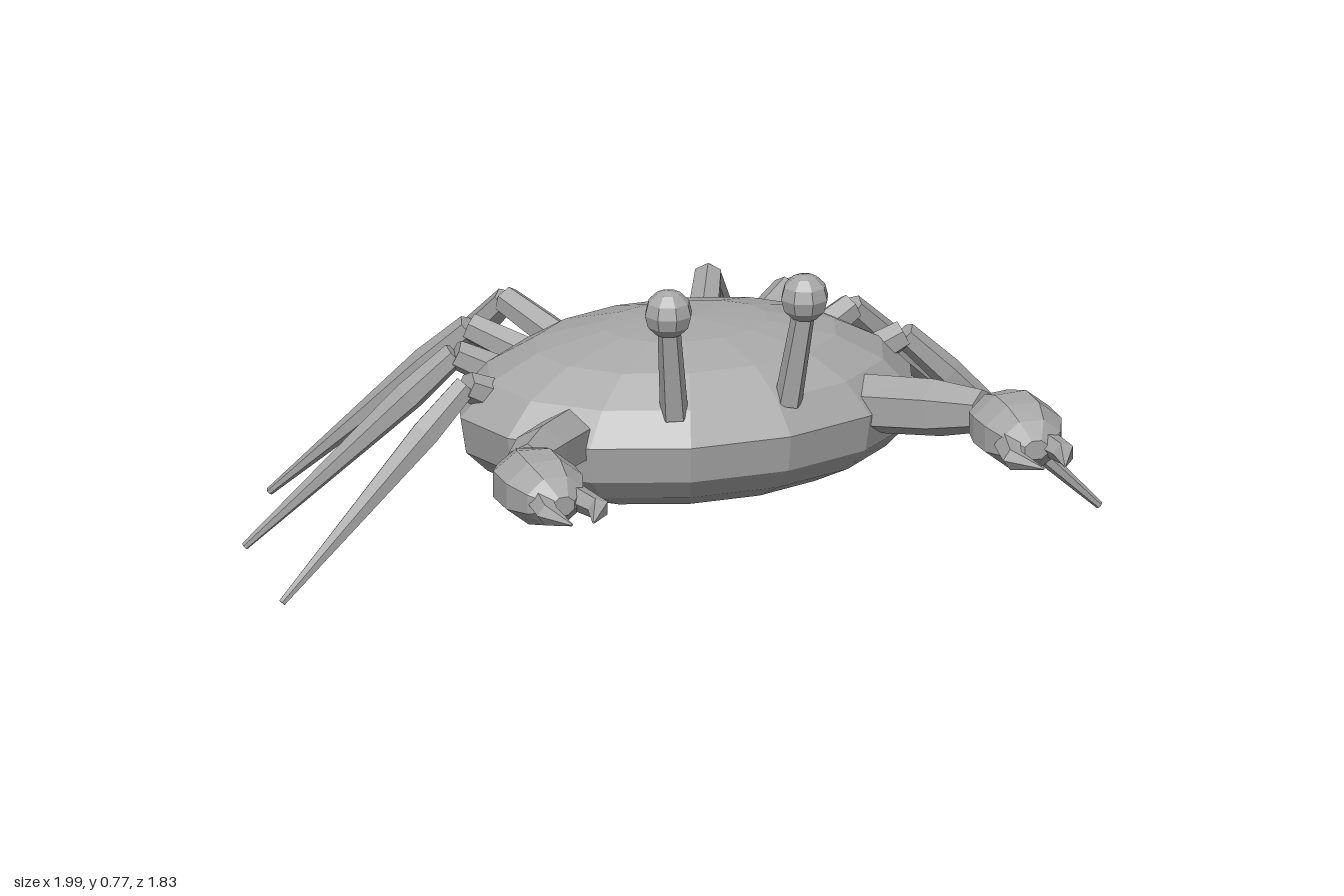
import * as THREE from 'three';

const shell = new THREE.MeshStandardMaterial({ color: 0xa8a8a8, flatShading: true });
shell.name = 'shell grey';

// Closed limb through stations [x, y, z, radius]; flat squashes it vertically
function limb(stations, sides, flat = 1, turn = 0.5) {
  const pts = stations.map(([x, y, z]) => new THREE.Vector3(x, y, z));
  const last = pts.length - 1, pos = [], idx = [];
  const up = new THREE.Vector3(0, 1, 0);
  pts.forEach((p, i) => {
    const t = pts[Math.min(i + 1, last)].clone().sub(pts[Math.max(i - 1, 0)]).normalize();
    const u = up.clone().cross(t).normalize();
    const v = t.clone().cross(u);
    for (let j = 0; j < sides; j++) {
      const a = (j + turn) / sides * Math.PI * 2, r = stations[i][3];
      const q = p.clone().addScaledVector(u, Math.cos(a) * r).addScaledVector(v, Math.sin(a) * r * flat);
      pos.push(q.x, q.y, q.z);
    }
  });
  const start = pos.length / 3, end = start + 1;
  pos.push(...pts[0].toArray(), ...pts[last].toArray());
  for (let j = 0; j < sides; j++) {
    const k = (j + 1) % sides;
    for (let i = 0; i < last; i++) {
      const a = i * sides + j, b = i * sides + k;
      idx.push(a, b, a + sides, b, b + sides, a + sides);
    }
    idx.push(start, k, j, end, last * sides + j, last * sides + k);
  }
  const g = new THREE.BufferGeometry();
  g.setAttribute('position', new THREE.Float32BufferAttribute(pos, 3));
  g.setIndex(idx);
  g.computeVertexNormals();
  return g;
}

// Walking legs: root, knee and tip
const LEGS = [
  { root: [0.44, 0.42, 0.0], knee: [0.53, 0.465, 0.01], tip: [0.99, 0.008, 0.05] },
  { root: [0.37, 0.41, -0.175], knee: [0.48, 0.465, -0.205], tip: [0.94, 0.008, -0.342] },
  { root: [0.27, 0.41, -0.28], knee: [0.385, 0.465, -0.37], tip: [0.76, 0.008, -0.677] },
  { root: [0.15, 0.4, -0.3], knee: [0.245, 0.465, -0.515], tip: [0.464, 0.008, -0.908] },
];

export function createModel() {
  const crab = new THREE.Group();
  crab.name = 'crab';
  const add = (name, geometry, parent = crab) => {
    const m = new THREE.Mesh(geometry, shell);
    m.name = name;
    parent.add(m);
    return m;
  };

  // Oval carapace with a blunt rim
  const profile = [[0, 0.165], [0.36, 0.172], [0.7, 0.215], [0.88, 0.255], [0.975, 0.305],
    [1, 0.39], [0.87, 0.465], [0.66, 0.525], [0.36, 0.56], [0, 0.573]]
    .map(([r, y]) => new THREE.Vector2(r, y));
  const body = new THREE.LatheGeometry(profile, 14, Math.PI / 14);
  body.scale(0.545, 1, 0.385);
  body.translate(0, 0, 0.015);
  add('carapace', body);

  for (const s of [1, -1]) {
    const side = new THREE.Group();
    side.name = s > 0 ? 'leftLimbs' : 'rightLimbs';
    crab.add(side);
    const part = (name, stations, sides, flat, turn) =>
      add(name, limb(stations.map(([x, y, z, r]) => [s * x, y, z, r]), sides, flat, turn), side);

    // Eye on its stalk
    part('eyeStalk', [[0.138, 0.45, 0.325, 0.034], [0.165, 0.69, 0.362, 0.027]], 5);
    add('eye', new THREE.SphereGeometry(0.057, 8, 6), side).position.set(s * 0.165, 0.712, 0.36);

    // Legs, each a short thigh and a long tapering shin
    LEGS.forEach(({ root, knee, tip }, i) => {
      const mid = knee.map((k, n) => k + (tip[n] - k) * 0.22);
      part('thigh' + (i + 1), [[...root, 0.042], [...knee, 0.034]], 6);
      part('shin' + (i + 1), [[...knee, 0.03], [...mid, 0.036], [...tip, 0.009]], 6);
    });

    // Claw arm, wrist and palm
    part('clawArm', [[0.36, 0.39, 0.23, 0.07], [0.48, 0.415, 0.38, 0.068], [0.555, 0.435, 0.49, 0.05]], 6);
    part('wrist', [[0.54, 0.433, 0.46, 0.03], [0.565, 0.437, 0.53, 0.035]], 6);
    part('palm', [[0.555, 0.437, 0.49, 0.03], [0.565, 0.437, 0.54, 0.08], [0.578, 0.437, 0.6, 0.102],
      [0.58, 0.437, 0.68, 0.1], [0.577, 0.437, 0.745, 0.075], [0.573, 0.437, 0.79, 0.03]], 8, 0.8);

    // Pincers curving toward each other
    part('outerPincer', [[0.61, 0.437, 0.73, 0.032], [0.625, 0.437, 0.83, 0.026], [0.597, 0.437, 0.915, 0.003]], 5);
    part('innerPincer', [[0.525, 0.437, 0.73, 0.032], [0.502, 0.437, 0.83, 0.026], [0.545, 0.437, 0.915, 0.003]], 5);
  }
  return crab;
}
